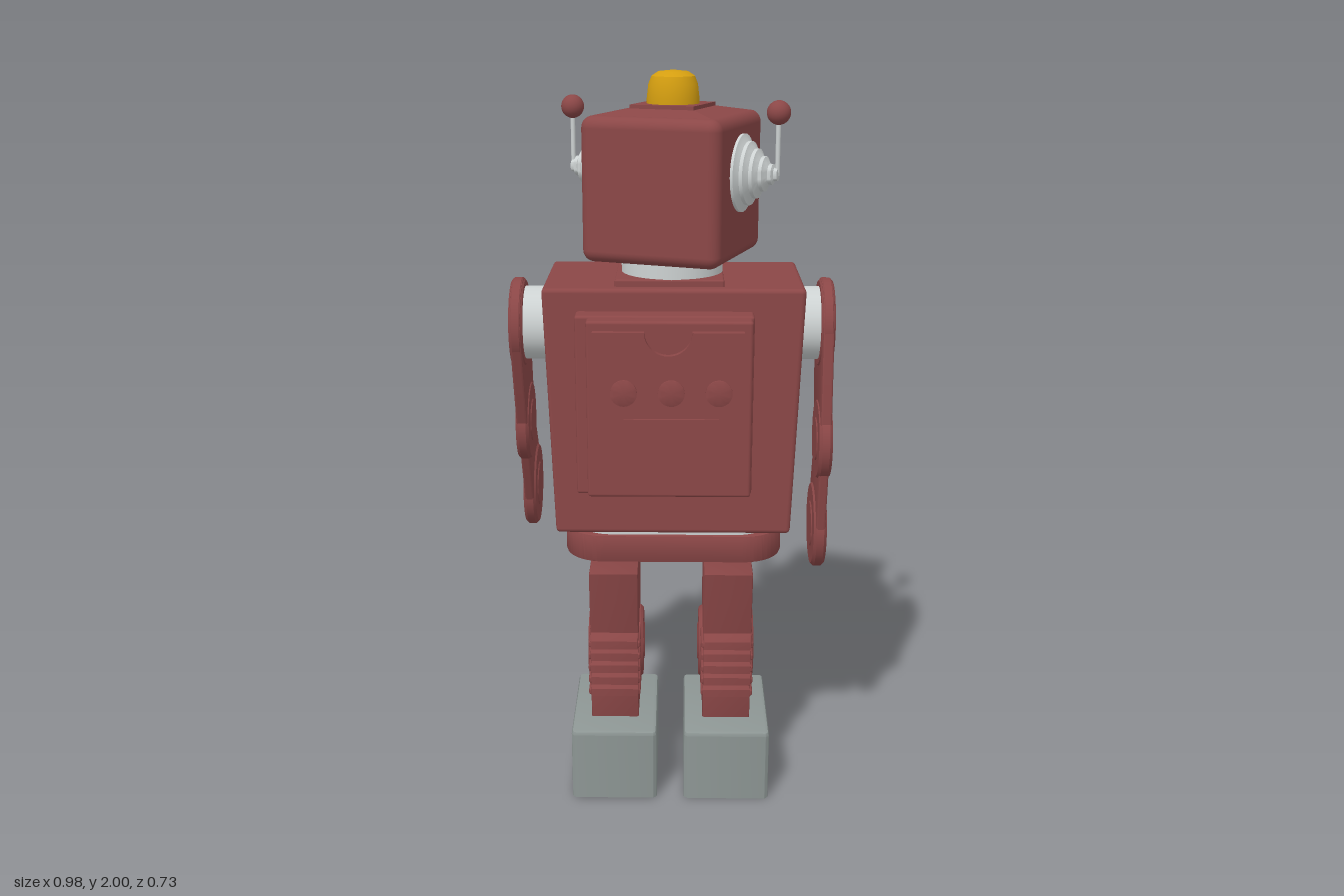
import * as THREE from 'three';
import { toCreasedNormals } from 'three/addons/utils/BufferGeometryUtils.js';
import { RoundedBoxGeometry } from 'three/addons/geometries/RoundedBoxGeometry.js';

const mat = (name, color) => {
  const m = new THREE.MeshStandardMaterial({ color });
  m.name = name;
  return m;
};
const red = mat('red paint', 0x8b4747), grey = mat('foot grey', 0x8d9694), silver = mat('silver', 0xcdd2d2);
const yellow = mat('amber', 0xd49e10), blue = mat('blue', 0x3f80c6), black = mat('black', 0x2a2b2c);
const steel = mat('steel', 0x9aa0a1), cream = mat('cream', 0xd8d8cc), tan = mat('tan', 0xb08c40);

const V = (x, y) => new THREE.Vector2(x, y);
const box = (w, h, d) => new THREE.BoxGeometry(w, h, d);
const soft = (w, h, d, r = 0.008) => new RoundedBoxGeometry(w, h, d, 2, r);

function add(parent, name, geo, material, x = 0, y = 0, z = 0) {
  const m = new THREE.Mesh(geo, material);
  m.name = name;
  m.position.set(x, y, z);
  parent.add(m);
  return m;
}
function group(parent, name, x = 0, y = 0, z = 0) {
  const g = new THREE.Group();
  g.name = name;
  g.position.set(x, y, z);
  parent.add(g);
  return g;
}
function extrude(shape, depth, bevel = 0) {
  const g = new THREE.ExtrudeGeometry(shape, {
    depth: depth - 2 * bevel, curveSegments: 20, bevelEnabled: bevel > 0,
    bevelThickness: bevel, bevelSize: bevel, bevelOffset: -bevel, bevelSegments: 2,
  });
  g.translate(0, 0, -depth / 2 + bevel);
  return toCreasedNormals(g, 0.6);
}
// shape drawn in (z, y), thickness along x
const sideways = (shape, depth, bevel) => extrude(shape, depth, bevel).rotateY(-Math.PI / 2);
// shape drawn in plan, thickness along y
const upright = (shape, depth, bevel) => extrude(shape, depth, bevel).rotateX(-Math.PI / 2);
const lathe = (pts, n = 32) => toCreasedNormals(new THREE.LatheGeometry(pts.map(p => V(...p)), n), 0.6);

function roundRect(w, d, r) {
  const s = new THREE.Shape(), a = w / 2 - r, b = d / 2 - r, q = Math.PI / 2;
  s.absarc(a, b, r, 0, q);
  s.absarc(-a, b, r, q, 2 * q);
  s.absarc(-a, -b, r, 2 * q, 3 * q);
  s.absarc(a, -b, r, 3 * q, 4 * q);
  s.closePath();
  return s;
}
// outline around two circles [z, y, radius]
function link([x1, y1, r1], [x2, y2, r2]) {
  const phi = Math.atan2(y2 - y1, x2 - x1);
  const b = Math.acos((r1 - r2) / Math.hypot(x2 - x1, y2 - y1));
  const s = new THREE.Shape();
  s.absarc(x1, y1, r1, phi + b, phi + 2 * Math.PI - b);
  s.absarc(x2, y2, r2, phi - b, phi + b);
  s.closePath();
  return s;
}
// joint disc across x with a faint raised hub
function disc(r, t) {
  const h = t / 2, half = [[0, h], [0.5 * r, h], [0.53 * r, h - 0.003], [0.93 * r, h - 0.003], [r, h - 0.011]];
  const low = half.map(([x, y]) => [x, -y]);
  return lathe([...low, ...half.reverse()], 40).rotateZ(Math.PI / 2);
}

function buildLeg(robot, side) {
  const leg = group(robot, side > 0 ? 'leftLeg' : 'rightLeg', side * 0.158);
  // leg profile with folds behind the knee
  const pts = [[-0.085, 0.2], [0.13, 0.2], [0.13, 0.3], [0.135, 0.5], [0.148, 0.625], [0.06, 0.645], [-0.03, 0.67], [-0.13, 0.67], [-0.1, 0.48]];
  for (let i = 0; i < 5; i++) {
    const y = 0.46 - i * 0.037;
    pts.push([-0.115, y], [-0.115, y - 0.022], [-0.095, y - 0.026], [-0.095, y - 0.034]);
  }
  add(leg, 'legShell', sideways(new THREE.Shape(pts.map(p => V(...p))), 0.134, 0.004), red);
  for (let i = 0; i < 5; i++) add(leg, 'kneeFold', soft(0.146, 0.02, 0.13, 0.006), red, 0, 0.448 - i * 0.037, -0.045);
  add(leg, 'shinSeam', box(0.012, 0.42, 0.016), red, 0, 0.42, 0.138);
  add(leg, 'kneeDisc', disc(0.104, 0.162), red, 0, 0.38, 0.06);
  // hollow foot, open below
  const ring = roundRect(0.24, 0.358, 0.015);
  ring.holes.push(roundRect(0.216, 0.334, 0.008));
  add(leg, 'footWalls', upright(ring, 0.19), grey, 0, 0.095, 0.003);
  add(leg, 'footTop', upright(roundRect(0.24, 0.358, 0.015), 0.04, 0.012), grey, 0, 0.19, 0.003);
}

function buildArm(robot, side, joints) {
  const arm = group(robot, side > 0 ? 'leftArm' : 'rightArm', side * 0.41);
  const [s, e, h] = joints;
  add(arm, 'upperArm', sideways(link([...s, 0.12], [...e, 0.095]), 0.03, 0.006), red);
  add(arm, 'forearm', sideways(link([...e, 0.085], [...h, 0.112]), 0.026, 0.006), red);
  add(arm, 'shoulderDisc', disc(0.121, 0.042), red, 0, s[1], s[0]);
  add(arm, 'elbowDisc', disc(0.111, 0.042), red, 0, e[1], e[0]);
  add(arm, 'handDisc', disc(0.12, 0.042), red, 0, h[1], h[0]);
  add(arm, 'shoulderTube', new THREE.CylinderGeometry(0.098, 0.098, 0.12, 32).rotateZ(Math.PI / 2), silver, -side * 0.075, s[1], s[0]);
}

function buildBody(robot) {
  const body = group(robot, 'body');
  const shell = soft(0.675, 0.67, 0.388, 0.012), p = shell.attributes.position;
  for (let i = 0; i < p.count; i++) {
    const f = 1 - 0.07 * (0.5 - p.getY(i) / 0.67);
    p.setX(i, p.getX(i) * f);
    p.setZ(i, p.getZ(i) * f);
  }
  add(body, 'torso', shell, red, -0.005, 1.135, 0.029);
  add(body, 'pelvis', upright(roundRect(0.6, 0.25, 0.11), 0.08, 0.008), red, -0.006, 0.731, 0.028);
  add(body, 'waist', upright(roundRect(0.54, 0.23, 0.1), 0.06), silver, -0.006, 0.785, 0.028);
  add(body, 'neckPlate', soft(0.28, 0.03, 0.27, 0.005), red, 0.006, 1.473, 0);
  add(body, 'neck', new THREE.CylinderGeometry(0.133, 0.133, 0.1, 40), silver, 0, 1.51, 0);

  // back box, door with notch, knobs and slot
  add(body, 'backFrame', soft(0.455, 0.475, 0.08), red, 0.018, 1.175, -0.18);
  add(body, 'backBox', soft(0.42, 0.465, 0.12), red, 0.005, 1.175, -0.197);
  const door = new THREE.Shape();
  door.moveTo(-0.19, -0.19);
  door.lineTo(0.19, -0.19);
  door.lineTo(0.19, 0.19);
  door.lineTo(0.06, 0.19);
  door.absarc(0, 0.19, 0.06, 0, Math.PI, true);
  door.lineTo(-0.19, 0.19);
  add(body, 'backDoor', extrude(door, 0.022), red, 0.008, 1.193, -0.264);
  for (const x of [-0.12, 0, 0.12]) {
    add(body, 'backKnob', lathe([[0, -0.006], [0.034, -0.006], [0.034, 0.005], [0.025, 0.008], [0, 0.009]], 24).rotateX(-Math.PI / 2), red, x, 1.228, -0.276);
  }
  add(body, 'backSlot', box(0.24, 0.055, 0.012), red, 0, 1.133, -0.276);

  // stepped chest frame
  add(body, 'chestPlate', soft(0.53, 0.5, 0.06), red, -0.004, 1.155, 0.225);
  add(body, 'chestStep', soft(0.47, 0.44, 0.04), red, -0.006, 1.145, 0.252);
  add(body, 'windowFrame', soft(0.4, 0.39, 0.04), red, -0.008, 1.15, 0.272);
  const lip = new THREE.CylinderGeometry(0.19, 0.19, 0.06, 40, 1, false, -Math.PI / 2, Math.PI);
  add(body, 'windowSill', lip.clone().scale(1, 1, 0.24), red, -0.01, 0.995, 0.288);
  add(body, 'windowHood', lip.clone().scale(1, 0.4, 0.14), red, -0.01, 1.33, 0.288);

  // bulged window with two painted panes
  const R = 0.207, cy = 1.172, cz = 0.143, a = 0.71, wx = -0.01;
  const bulge = new THREE.Shape();
  bulge.absarc(cz, cy, R, -a, a);
  bulge.closePath();
  add(body, 'chestWindow', sideways(bulge, 0.33), black, wx);
  const onGlass = (name, geo, m, x, t) => {
    add(body, name, geo, m, wx + x, cy + R * Math.sin(t), cz + R * Math.cos(t)).rotation.x = -t;
  };
  for (const s of [-1, 1]) {
    const x = s * 0.083;
    onGlass('paneLight', box(0.115, 0.032, 0.004), yellow, x, 0.38);
    onGlass('paneLightCap', box(0.07, 0.02, 0.004), yellow, x, 0.48);
    onGlass('paneLabel', box(0.05, 0.008, 0.007), cream, x, 0.4);
    onGlass('paneDial', new THREE.CylinderGeometry(0.026, 0.026, 0.004, 20).rotateX(Math.PI / 2).scale(1, 0.6, 1), tan, x, 0.05);
    for (const d of [-0.03, 0.03]) onGlass('paneMark', box(0.042, 0.016, 0.004), cream, x + d, -0.4);
  }
  for (const t of [-0.5, -0.25, 0, 0.25, 0.5]) onGlass('windowDivider', box(0.004, 0.054, 0.004), steel, 0, t);

  // sloping control console
  const prof = [[0.19, 0.825], [0.248, 0.83], [0.262, 0.855], [0.262, 0.925], [0.2, 0.945]].map(q => V(...q));
  add(body, 'console', sideways(new THREE.Shape(prof), 0.53, 0.004), red, -0.004);
  for (const [x, r] of [[0.19, 0.035], [0.105, 0.025]]) {
    for (const s of [-1, 1]) add(body, 'consoleKnob', lathe([[0, -0.01], [r, -0.01], [r, 0.004], [r * 0.8, 0.009], [0, 0.011]], 24).rotateX(Math.PI / 2), silver, s * x - 0.004, 0.887, 0.265);
  }
  add(body, 'display', box(0.12, 0.042, 0.008), cream, -0.004, 0.889, 0.262);
  add(body, 'displayBar', box(0.07, 0.014, 0.006), blue, -0.016, 0.889, 0.265);
}

function buildHead(robot) {
  const head = group(robot, 'head', -0.001, 0, -0.006);
  head.rotation.y = -0.344;
  add(head, 'headShell', new RoundedBoxGeometry(0.37, 0.365, 0.37, 4, 0.03), red, 0, 1.712, 0);
  // shallow pyramid roof
  const roof = toCreasedNormals(new THREE.CylinderGeometry(0.12, 0.235, 0.016, 4).rotateY(Math.PI / 4), 0.1);
  add(head, 'roof', roof, red, 0, 1.9, 0);
  add(head, 'domePlate', box(0.17, 0.025, 0.17), red, 0, 1.905, 0);
  add(head, 'dome', lathe([[0.067, 1.91], [0.067, 1.93], [0.063, 1.965], [0.055, 1.985], [0.038, 1.996], [0, 2]]), yellow);

  // stepped ear cones with aerials
  const steps = [];
  for (let i = 0; i < 5; i++) {
    const r = 0.098 - i * 0.018, y = i * 0.019;
    steps.push([r, y], [r, y + 0.009], [r - 0.009, y + 0.013]);
  }
  steps.push([0.016, 0.098], [0, 0.101]);
  for (const s of [-1, 1]) {
    add(head, 'earCone', lathe(steps).rotateZ(-s * Math.PI / 2), silver, s * 0.183, 1.75, 0);
    add(head, 'aerial', new THREE.CylinderGeometry(0.006, 0.006, 0.155, 10), silver, s * 0.279, 1.825, 0);
    add(head, 'aerialBall', new THREE.SphereGeometry(0.03, 24, 16), red, s * 0.279, 1.902, 0);
    // eyes
    const eye = group(head, 'eye', s * 0.092, 1.772, 0.18);
    const plate = (name, r, h, m) => add(eye, name, new THREE.CylinderGeometry(r, r, h, 32).rotateX(Math.PI / 2), m, 0, 0, h / 2);
    plate('eyeBase', 0.066, 0.018, steel);
    add(eye, 'eyeRim', new THREE.TorusGeometry(0.059, 0.007, 8, 36), steel, 0, 0, 0.018);
    plate('iris', 0.053, 0.021, blue);
    plate('pupil', 0.024, 0.025, yellow);
  }
  // nose and grille mouth
  const nose = new THREE.Shape([V(-0.032, -0.035), V(0.032, -0.035), V(0, 0.04)]);
  add(head, 'nose', extrude(nose, 0.03, 0.006), red, 0, 1.695, 0.19);
  add(head, 'mouth', box(0.22, 0.056, 0.02), steel, 0.004, 1.632, 0.181);
  for (const y of [-0.023, 0.023]) add(head, 'lip', box(0.22, 0.01, 0.01), steel, 0.004, 1.632 + y, 0.19);
  for (let i = 0; i < 9; i++) add(head, 'tooth', box(0.012, 0.036, 0.006), steel, -0.096 + i * 0.025, 1.632, 0.191);
}

export function createModel() {
  const model = new THREE.Group();
  model.name = 'toyRobot';
  // the robot stands turned away to the rear
  const robot = group(model, 'robot', 0.065, 0, 0.03);
  robot.rotation.y = Math.PI + 0.602;
  buildBody(robot);
  buildHead(robot);
  buildLeg(robot, 1);
  buildLeg(robot, -1);
  // arm joints as [z, y]: shoulder, elbow, hand
  buildArm(robot, 1, [[0.024, 1.34], [0.106, 1.04], [0.248, 0.8]]);
  buildArm(robot, -1, [[0.03, 1.34], [-0.025, 1.03], [0.042, 0.757]]);
  return model;
}
